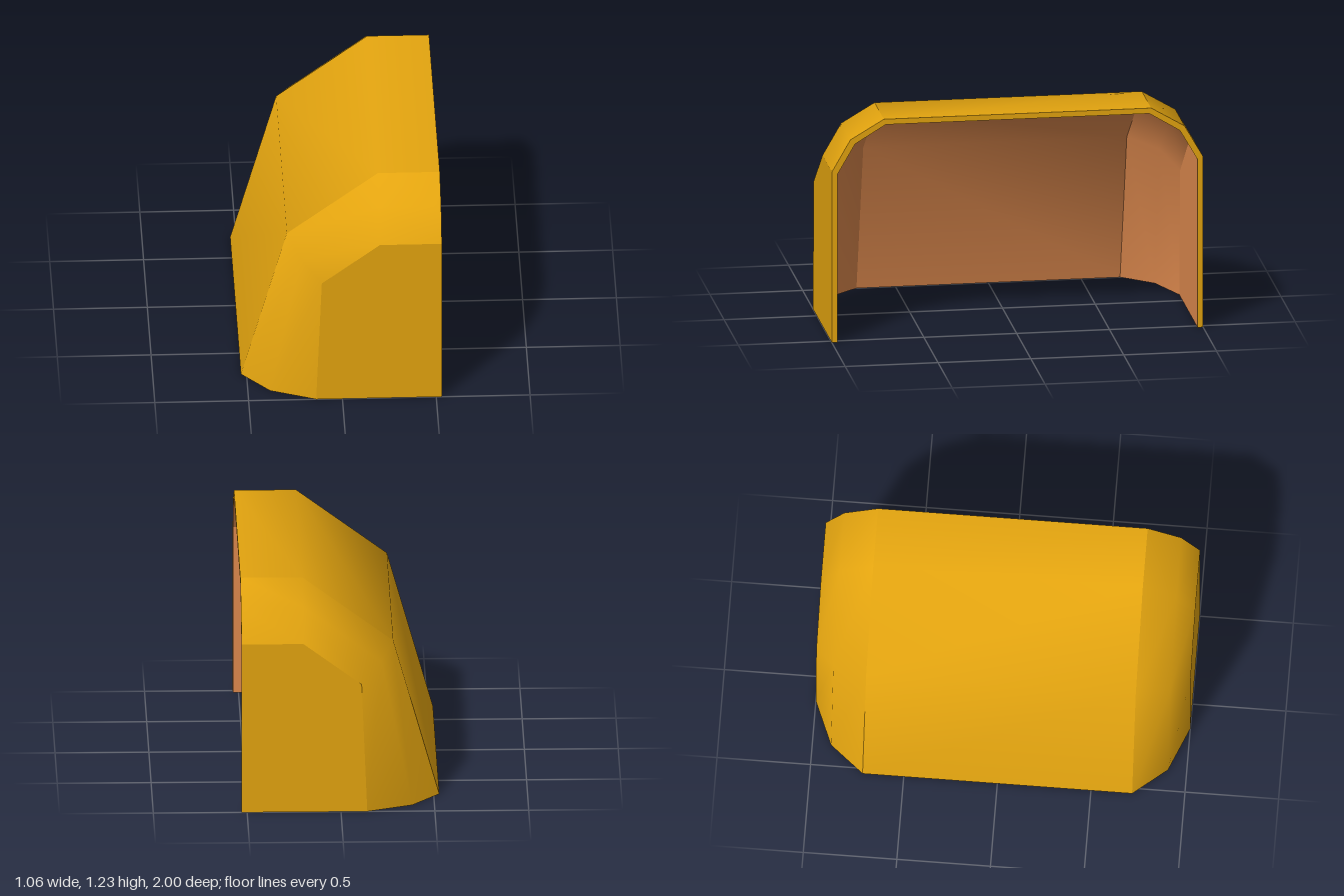
import * as THREE from 'three';

// Wall profiles, from the floor up over the slope to the open edge
const outer = {
  wide: [[-0.53, 0], [-0.285, 0.865], [0.2, 1.225], [0.53, 1.225]],
  narrow: [[-0.14, 0], [-0.11, 0.715], [0.2, 0.945], [0.53, 0.945]],
  z: [0.72, 0.9, 1],
};
const inner = {
  wide: [[-0.5, 0], [-0.262, 0.845], [0.208, 1.195], [0.53, 1.195]],
  narrow: [[-0.115, 0], [-0.083, 0.698], [0.208, 0.93], [0.53, 0.93]],
  z: [0.71, 0.875, 0.97],
};
const BEVEL = [0, 0.38, 1];

// Cross-sections ordered from +z to -z
function makeRings({ wide, narrow, z }) {
  const ring = (k, sign) => wide.map(([x, y], j) => [
    x + (narrow[j][0] - x) * BEVEL[k],
    y + (narrow[j][1] - y) * BEVEL[k],
    sign * z[k],
  ]);
  return [ring(2, 1), ring(1, 1), ring(0, 1), ring(0, -1), ring(1, -1), ring(2, -1)];
}

function buildGeometry(points, index, flip) {
  if (flip) index.reverse();
  const g = new THREE.BufferGeometry();
  g.setAttribute('position', new THREE.Float32BufferAttribute(points.flat(), 3));
  g.setIndex(index);
  g.computeVertexNormals();
  return g;
}

// Surface lofted through rows of points
function loft(rows, flip) {
  const n = rows[0].length;
  const index = [];
  for (let i = 0; i < rows.length - 1; i++) {
    for (let j = 0; j < n - 1; j++) {
      const a = i * n + j;
      index.push(a, a + 1, a + n, a + 1, a + n + 1, a + n);
    }
  }
  return buildGeometry(rows.flat(), index, flip);
}

// Flat convex polygon
function fan(points, flip) {
  const index = [];
  for (let i = 1; i < points.length - 1; i++) index.push(0, i, i + 1);
  return buildGeometry(points, index, flip);
}

export function createModel() {
  const model = new THREE.Group();
  model.name = 'hood';
  const yellow = new THREE.MeshStandardMaterial({ color: 0xe3a40f });
  yellow.name = 'yellowPaint';
  const copper = new THREE.MeshStandardMaterial({ color: 0xdf8a4e });
  copper.name = 'copperLining';

  const add = (name, geometry, material) => {
    const mesh = new THREE.Mesh(geometry, material);
    mesh.name = name;
    model.add(mesh);
  };

  // Each skin: main panel, two bevelled shoulders, two flat end walls
  const addSkin = (prefix, rings, material, flip) => {
    add(prefix + 'MainPanel', loft(rings.slice(2, 4), flip), material);
    add(prefix + 'FrontShoulder', loft(rings.slice(0, 3), flip), material);
    add(prefix + 'BackShoulder', loft(rings.slice(3, 6), flip), material);
    for (const [name, ring, back] of [['FrontWall', rings[0], false], ['BackWall', rings[5], true]]) {
      const corner = [0.53, 0, ring[0][2]];
      add(prefix + name, fan([corner, ...[...ring].reverse()], back !== flip), material);
    }
  };
  const outerRings = makeRings(outer);
  const innerRings = makeRings(inner);
  addSkin('outer', outerRings, yellow, false);
  addSkin('inner', innerRings, copper, true);

  // Rims closing the wall thickness along the floor and the open side
  const edge = (rings, j) => [
    [0.53, 0, rings[0][0][2]],
    ...rings.map((r) => r[j]),
    [0.53, 0, rings[5][0][2]],
  ];
  add('bottomRim', loft([edge(outerRings, 0), edge(innerRings, 0)], false), yellow);
  add('openSideRim', loft([edge(outerRings, 3), edge(innerRings, 3)], true), yellow);

  return model;
}
